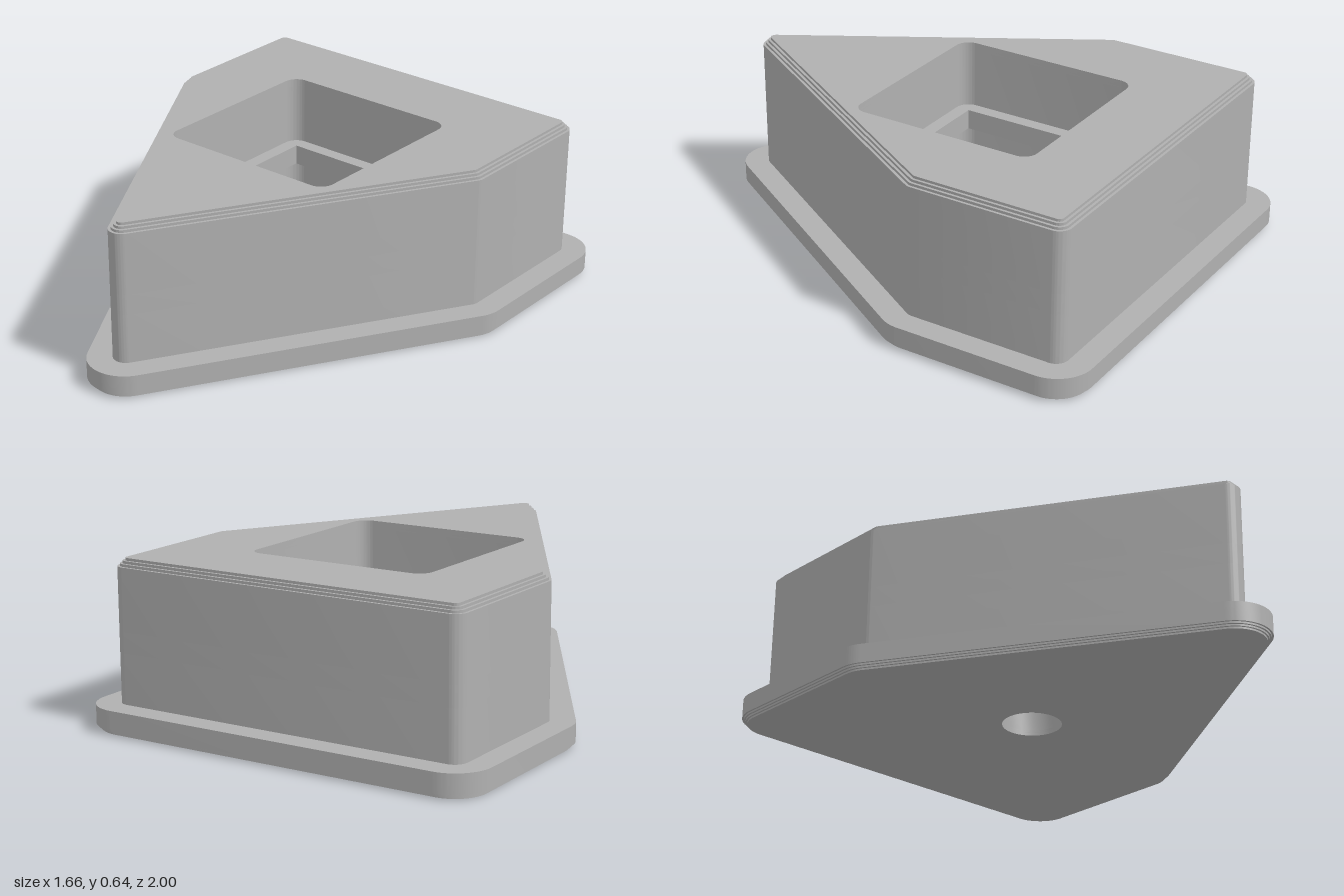
import * as THREE from 'three';
import { toCreasedNormals } from 'three/addons/utils/BufferGeometryUtils.js';

const POCKET_Z = -0.172;

// Corner centres (x, -z), counter-clockwise; outlines are rounded offsets of these
const bodyCore = [[0, -0.855], [0.685, 0.29], [0.685, 0.855], [-0.685, 0.855], [-0.685, 0.29]];
const squareCore = (h) => [[-h, -h], [h, -h], [h, h], [-h, h]].map(([x, y]) => [x, y - POCKET_Z]);

// Offset a convex polygon outwards by r with round corners
function outline(core, r, path = new THREE.Shape()) {
  const n = core.length;
  const normal = (a, b) => Math.atan2(a[0] - b[0], b[1] - a[1]);
  core.forEach((p, i) => {
    if (r === 0) {
      if (i) path.lineTo(p[0], p[1]);
      else path.moveTo(p[0], p[1]);
      return;
    }
    const a0 = normal(core[(i + n - 1) % n], p);
    const a1 = normal(p, core[(i + 1) % n]);
    path.absarc(p[0], p[1], r, a0, a1 < a0 ? a1 + Math.PI * 2 : a1, false);
  });
  path.closePath();
  return path;
}

export function createModel() {
  const group = new THREE.Group();
  const grey = new THREE.MeshStandardMaterial({ color: 0xb0b0b0 });
  grey.name = 'light grey';

  // Horizontal slab between two heights with one opening
  const slab = (name, radius, y0, y1, hole) => {
    const shape = outline(bodyCore, radius);
    shape.holes.push(hole);
    let geo = new THREE.ExtrudeGeometry(shape, { depth: y1 - y0, bevelEnabled: false, curveSegments: 16 });
    geo.rotateX(-Math.PI / 2);
    geo.translate(0, y0, 0);
    geo = toCreasedNormals(geo, 0.45);
    const mesh = new THREE.Mesh(geo, grey);
    mesh.name = name;
    group.add(mesh);
  };

  const roundHole = () => new THREE.Path().absarc(0, -POCKET_Z, 0.115, 0, Math.PI * 2, false);
  const pocket = () => outline(squareCore(0.325), 0.055, new THREE.Path());
  const cutout = () => outline(squareCore(0.325), 0, new THREE.Path());

  // Base flange with a finely stepped lower edge
  const s = 0.007;
  for (let i = 0; i < 3; i++) slab('flangeStep' + (i + 1), 0.145 - s * (3 - i), s * i, s * (i + 1), roundHole());
  slab('flange', 0.145, s * 3, 0.095, roundHole());

  // Hollow body: lower cavity, square-cut ledge, upper pocket
  slab('lowerBody', 0.05, 0.095, 0.29, pocket());
  slab('ledgePlate', 0.05, 0.29, 0.37, cutout());
  slab('upperBody', 0.05, 0.37, 0.61, pocket());

  // Stepped top edge
  for (let i = 0; i < 3; i++) slab('rimStep' + (i + 1), 0.04 - 0.01 * i, 0.61 + 0.01 * i, 0.62 + 0.01 * i, pocket());

  return group;
}
